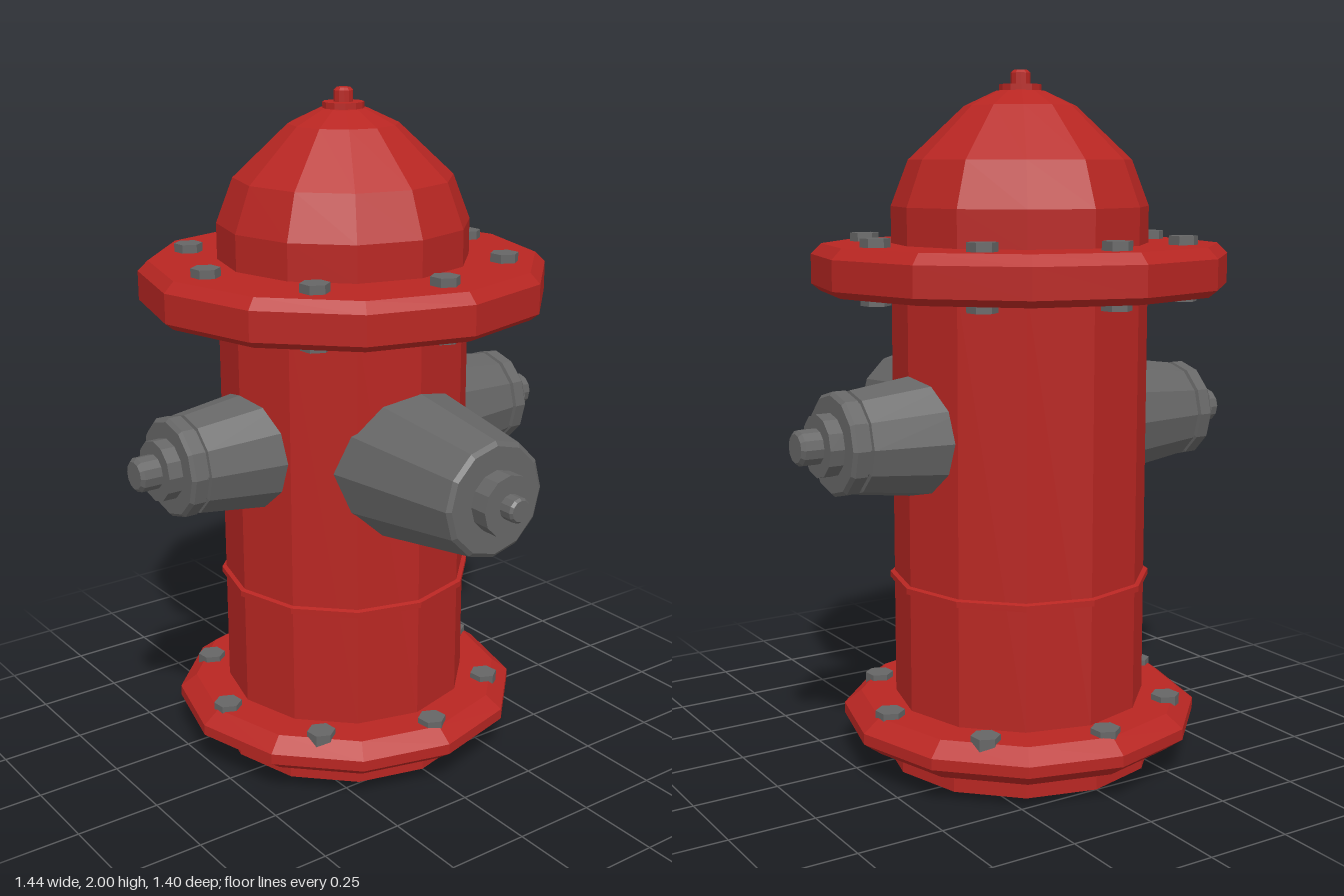
import * as THREE from 'three';

const red = new THREE.MeshStandardMaterial({ color: 0xb82622, flatShading: true });
const grey = new THREE.MeshStandardMaterial({ color: 0x666666, flatShading: true });

// Faceted turned part from [radius, height] pairs, listed bottom to top
function turned(name, profile, material, sides = 12) {
  const points = profile.map(([r, y]) => new THREE.Vector2(r, y));
  const mesh = new THREE.Mesh(new THREE.LatheGeometry(points, sides), material);
  mesh.name = name;
  return mesh;
}

// Ring of eight hexagonal bolts
function boltRing(name, radius, y0, y1) {
  const ring = new THREE.Group();
  ring.name = name;
  const geometry = new THREE.CylinderGeometry(0.042, 0.042, y1 - y0, 6);
  for (let i = 0; i < 8; i++) {
    const a = (i * Math.PI) / 4;
    const bolt = new THREE.Mesh(geometry, grey);
    bolt.name = 'bolt';
    bolt.position.set(radius * Math.sin(a), (y0 + y1) / 2, radius * Math.cos(a));
    bolt.rotation.y = 0.1;
    ring.add(bolt);
  }
  return ring;
}

export function createModel() {
  const hydrant = new THREE.Group();
  hydrant.name = 'hydrant';
  const body = new THREE.Group();
  body.name = 'body';
  body.position.z = -0.1;
  hydrant.add(body);

  // Foot, flanges and barrel
  body.add(
    turned('foot', [[0, 0], [0.4, 0], [0.4, 0.08]], red),
    turned('baseFlange', [[0, 0.07], [0.47, 0.07], [0.525, 0.11], [0.525, 0.142], [0.475, 0.18], [0, 0.18]], red),
    turned('barrel', [[0.37, 0.17], [0.37, 1.4]], red),
    turned('barrelRing', [[0.365, 0.525], [0.383, 0.53], [0.383, 0.547], [0.365, 0.552]], red),
    turned('topFlange', [[0, 1.38], [0.575, 1.38], [0.6, 1.4], [0.6, 1.485], [0.57, 1.515], [0, 1.515]], red)
  );

  // Domed bonnet with its operating nut
  body.add(
    turned('dome', [[0.37, 1.51], [0.37, 1.62], [0.32, 1.75], [0.16, 1.9], [0.07, 1.942], [0, 1.945]], red),
    turned('nutWasher', [[0.06, 1.935], [0.06, 1.96], [0, 1.96]], red),
    turned('topNut', [[0.028, 1.955], [0.028, 1.992], [0.02, 2], [0, 2]], red)
  );

  // Bolts
  body.add(boltRing('topBolts', 0.468, 1.357, 1.54), boltRing('baseBolts', 0.44, 0.15, 0.197));

  // Side outlets, profiled outwards from the barrel axis
  for (const side of [-1, 1]) {
    const outlet = new THREE.Group();
    outlet.name = side > 0 ? 'leftOutlet' : 'rightOutlet';
    outlet.add(
      turned('outletCone', [[0.185, 0.26], [0.145, 0.553], [0.135, 0.555], [0.135, 0.563]], grey),
      turned('outletCap', [[0.13, 0.56], [0.146, 0.565], [0.146, 0.602], [0.136, 0.612], [0, 0.612]], grey),
      turned('outletCollar', [[0.088, 0.61], [0.088, 0.655], [0, 0.655]], grey),
      turned('outletNut', [[0.05, 0.65], [0.05, 0.708], [0.04, 0.718], [0, 0.718]], grey)
    );
    outlet.position.y = 0.985;
    outlet.rotation.z = (-side * Math.PI) / 2;
    body.add(outlet);
  }

  // Large front outlet
  const front = new THREE.Group();
  front.name = 'frontOutlet';
  front.add(
    turned('frontCone', [[0.248, 0.18], [0.168, 0.69], [0.155, 0.7], [0, 0.7]], grey),
    turned('frontCollar', [[0.088, 0.695], [0.088, 0.755], [0, 0.755]], grey),
    turned('frontNut', [[0.036, 0.75], [0.036, 0.792], [0.03, 0.8], [0, 0.8]], grey)
  );
  front.position.y = 0.965;
  front.rotation.x = Math.PI / 2;
  body.add(front);

  return hydrant;
}
